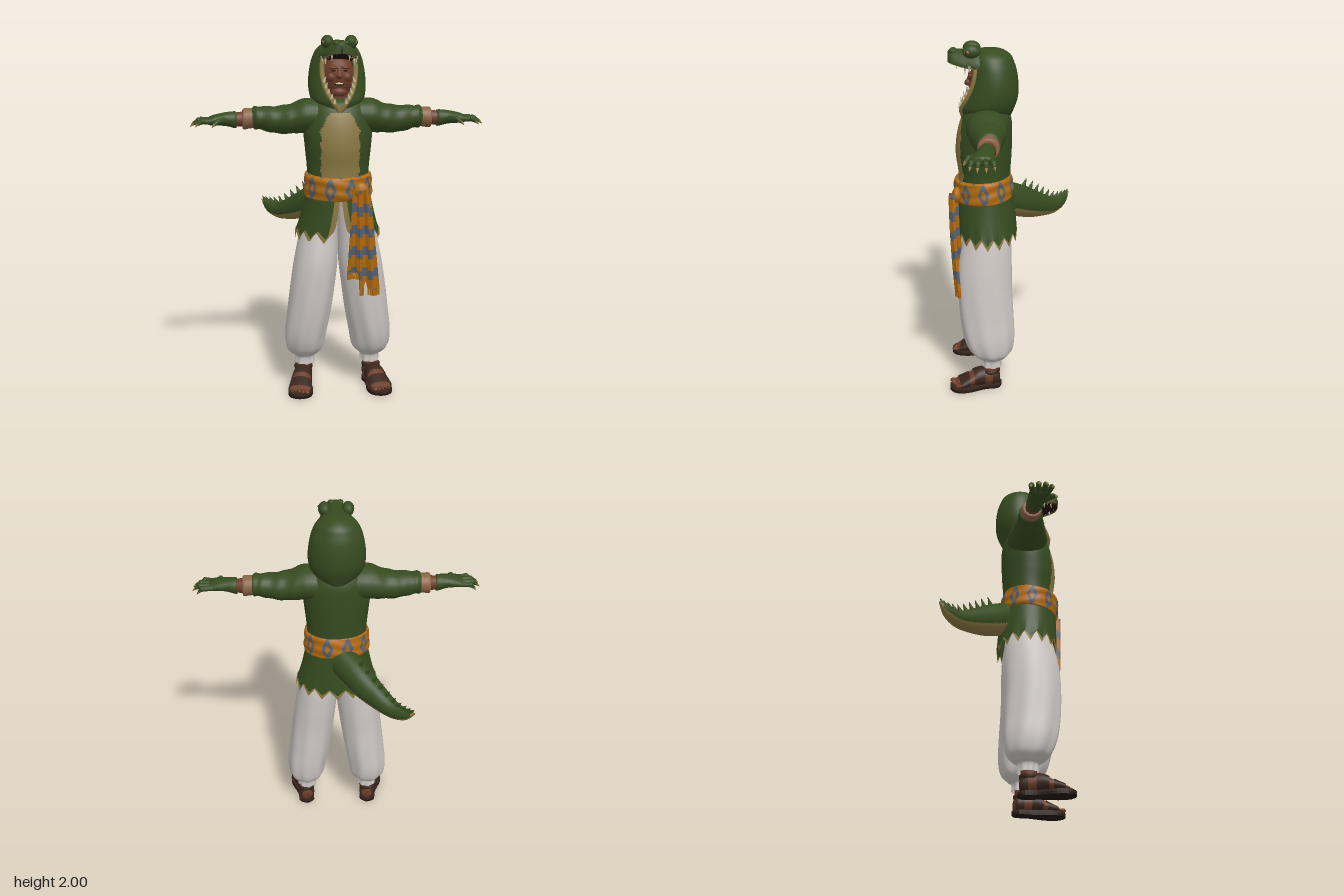
import * as THREE from 'three';
import { ParametricGeometry } from 'three/addons/geometries/ParametricGeometry.js';

const colours = {
  green: 0x364b20, tan: 0x8a7742, skin: 0x6c3d2a, leather: 0x8a6244, orange: 0xb26a0e,
  blue: 0x566070, sandalBrown: 0x38261d, dark: 0x231712, cloth: 0xcbc5c1, ivory: 0xcfc6ac,
};
const M = {};
for (const [name, color] of Object.entries(colours)) {
  M[name] = new THREE.MeshStandardMaterial({ color, side: THREE.DoubleSide });
  M[name].name = name;
}
const TAU = Math.PI * 2, { sin, cos, abs, asin, max, min, floor } = Math;
const frac = (x) => x - floor(x);

// Smooth interpolation through rows of numbers, t in 0..1
function spline(rows, t) {
  const n = rows.length - 1, x = min(max(t, 0), 1) * n, i = min(floor(x), n - 1), f = x - i;
  const [a, b, c, d] = [-1, 0, 1, 2].map((k) => rows[min(max(i + k, 0), n)]);
  return b.map((_, k) => b[k] + 0.5 * f * (c[k] - a[k] + f * (2 * a[k] - 5 * b[k] + 4 * c[k] - d[k]
    + f * (3 * (b[k] - c[k]) + d[k] - a[k]))));
}
const surf = (fn, cols, rows) => new ParametricGeometry((u, v, p) => p.set(...fn(u, v)), cols, rows);

// Lofts with elliptical sections: along y [y, cx, cz, rx, rz], x [x, cy, cz, ry, rz], z [z, cy, rx, ry]
function loftY(st, cols, rows, bump) {
  return surf((u, v) => {
    const [y, cx, cz, rx, rz] = spline(st, v), a = u * TAU, k = 1 + bump(a, v);
    return [cx + sin(a) * rx * k, y, cz + cos(a) * rz * k];
  }, cols, rows);
}
function loftX(st, s, bump = () => 0) {
  return surf((u, v) => {
    const [x, cy, cz, ry, rz] = spline(st, v), a = u * TAU * s, k = 1 + bump(a, v);
    return [x * s, cy + cos(a) * ry * k, cz + sin(a) * rz * k];
  }, 24, 30);
}
function loftZ(st, arch = 0, grow = 0, v0 = 0, v1 = 1) {
  return surf((u, v) => {
    const [z, cy, rx, ry] = spline(st, v0 + (v1 - v0) * v), a = u * TAU;
    return [cos(a) * (rx + grow), cy + sin(a) * (ry + grow) - cos(a) ** 2 * arch, z];
  }, 32, 16);
}
// Splits a surface between materials; pick(u, v, centre) returns a material index
function paint(geo, pick) {
  const P = geo.attributes.position, T = geo.attributes.uv, lists = [[], [], []], idx = geo.index.array;
  for (let i = 0; i < idx.length; i += 3) {
    const t = [idx[i], idx[i + 1], idx[i + 2]];
    const mean = (f) => (f(t[0]) + f(t[1]) + f(t[2])) / 3;
    const c = new THREE.Vector3(mean((k) => P.getX(k)), mean((k) => P.getY(k)), mean((k) => P.getZ(k)));
    lists[pick(mean((k) => T.getX(k)), mean((k) => T.getY(k)), c)].push(...t);
  }
  geo.setIndex(lists.flat());
  let start = 0;
  lists.forEach((l, m) => { if (l.length) geo.addGroup(start, l.length, m); start += l.length; });
  return geo;
}
function add(parent, name, geo, mat, pos = [0, 0, 0]) {
  const m = new THREE.Mesh(geo, mat);
  m.name = name;
  m.position.set(...pos);
  parent.add(m);
  return m;
}
function ball(parent, name, mat, pos, r) {
  add(parent, name, new THREE.SphereGeometry(1, 14, 10), mat, pos).scale.set(...r);
}
// Tapered rod from p to q
function rod(parent, name, mat, p, q, r1, r2) {
  const a = new THREE.Vector3(...p), b = new THREE.Vector3(...q), d = b.clone().sub(a);
  const m = add(parent, name, new THREE.CylinderGeometry(r2, r1, d.length(), 10), mat,
    a.clone().add(b).multiplyScalar(0.5).toArray());
  m.quaternion.setFromUnitVectors(new THREE.Vector3(0, 1, 0), d.normalize());
}

function buildClothes(g) {
  // Tunic body with pale belly
  const body = loftY([[1.12, 0, 0.155, 0.17, 0.145], [1.27, 0, 0.152, 0.172, 0.147], [1.38, 0, 0.155, 0.182, 0.157],
    [1.48, 0, 0.15, 0.19, 0.155], [1.57, 0, 0.14, 0.182, 0.142], [1.63, 0, 0.135, 0.15, 0.115],
    [1.66, 0, 0.13, 0.09, 0.08]], 100, 60, () => 0);
  paint(body, (u, v, c) => (c.z > 0.15 && c.y < 1.585 && abs(c.x) < 0.105 - max(0, c.y - 1.5) * 0.6
    + 0.004 * sin(c.y * 90) ? 1 : 0));
  add(g, 'tunicBody', body, [M.green, M.tan]);

  // Flared skirt, open at the front, with a pointed and edged hem
  const st = [[0.9, 0.24, 0.138, 0.173], [0.95, 0.224, 0.14, 0.171], [1.05, 0.198, 0.145, 0.166], [1.16, 0.175, 0.15, 0.158]];
  const tooth = (u) => abs(frac(u * 15) * 2 - 1) - 0.5;
  const skirt = surf((u, v) => {
    const [y, rx, cz, rz] = spline(st, v), gap = asin(0.2 * (1 - v)), a = gap + u * (TAU - 2 * gap);
    return [sin(a) * rx, y + tooth(u) * 0.06 * (1 - v) ** 3, cz + cos(a) * rz];
  }, 210, 40);
  paint(skirt, (u, v) => (v < 0.16 + 0.05 * tooth(u) || min(u, 1 - u) < 0.024 ? 1 : 0));
  add(g, 'tunicSkirt', skirt, [M.green, M.tan]);

  // Patterned sash, sitting lower at the front
  const belt = loftY([[-0.066, 0, 0, 0.165, 0.145], [-0.058, 0, 0, 0.19, 0.163], [-0.02, 0, 0, 0.19, 0.17],
    [0.02, 0, 0, 0.187, 0.168], [0.058, 0, 0, 0.186, 0.162], [0.068, 0, 0, 0.165, 0.145]], 180, 32,
  (a, v) => 0.012 * sin(v * 22 + 2 * sin(a * 2)));
  const motif = (u, v) => abs(frac(u * 10) - 0.5) + abs(v - 0.5) * 0.75;
  paint(belt, (u, v) => ((motif(u, v) > 0.12 && motif(u, v) < 0.3) || motif(u, v) > 0.72 ? 1 : 0));
  add(g, 'sashBelt', belt, [M.orange, M.blue], [0, 1.182, 0.157]).rotation.x = 0.09;
  ball(g, 'sashKnot', M.orange, [0.11, 1.165, 0.308], [0.042, 0.045, 0.026]);
  for (const [x0, x1, w, yEnd, z] of [[0.095, 0.085, 0.095, 0.7, 0.318], [0.125, 0.16, 0.115, 0.61, 0.334]]) {
    const strip = new THREE.BoxGeometry(1, 1, 0.016, 20, 90, 1), P = strip.attributes.position;
    for (let i = 0; i < P.count; i++) {
      const t = 0.5 - P.getY(i), x = P.getX(i);
      P.setXYZ(i, x0 + (x1 - x0) * t + x * (0.065 + (w - 0.065) * t), 1.17 + (yEnd - 1.17) * t,
        P.getZ(i) + z - 0.025 * t * t + 0.011 * sin(x * 9));
    }
    strip.computeVertexNormals();
    strip.clearGroups();
    paint(strip, (u, v, c) => (frac(c.y * 8.3 + 0.3 + 0.16 * (floor(c.x * 34 + 50) % 2)) < 0.42 ? 1 : 0));
    add(g, 'sashEnd', strip, [M.orange, M.blue]);
    for (let i = 0; i < 8; i++) {
      const f = (i - 3.5) / 8, x = x1 + f * w, zf = z - 0.025 + 0.011 * sin(f * 9);
      rod(g, 'sashFringe', M.orange, [x, yEnd + 0.005, zf], [x, yEnd - 0.035, zf], 0.0075, 0.0075);
    }
  }
}

function buildTail(g) {
  const st = [[-0.03, 1.1, 0.04, 0.085, 0.105], [-0.13, 1.04, -0.08, 0.08, 0.098], [-0.22, 0.99, -0.175, 0.064, 0.075],
    [-0.305, 0.955, -0.26, 0.046, 0.05], [-0.37, 0.965, -0.325, 0.028, 0.032], [-0.41, 1, -0.365, 0.004, 0.005]];
  const tail = surf((u, v) => {
    const [x, y, z, a, b] = spline(st, v), c = cos(u * TAU) * a * 0.707;
    return [x - c, y + sin(u * TAU) * b, z + c];
  }, 48, 40);
  paint(tail, (u, v) => (v > 0.9 || sin(u * TAU) < -0.45 ? 1 : 0));
  add(g, 'tail', tail, [M.green, M.tan]);
  for (let i = 0; i < 10; i++) {
    const [x, y, z, , b] = spline(st, 0.2 + i * 0.077), h = 0.042 - i * 0.002;
    rod(g, 'tailSpike', M.green, [x + 0.008, y + b - 0.012, z + 0.008], [x - 0.014, y + b + h, z - 0.014], 0.017, 0.001);
  }
}

function buildHead(g) {
  // Hood with a face opening; the last column is the half width of the gap
  const st = [[1.59, 0.09, 0.135, 0.13, 0.004], [1.64, 0.14, 0.13, 0.148, 0.035], [1.7, 0.157, 0.11, 0.147, 0.07],
    [1.77, 0.157, 0.097, 0.137, 0.088], [1.84, 0.146, 0.095, 0.127, 0.09], [1.89, 0.13, 0.1, 0.117, 0.07],
    [1.93, 0.104, 0.105, 0.102, 0], [1.96, 0.055, 0.115, 0.065, 0], [1.968, 0.004, 0.115, 0.006, 0]];
  const hood = (u, v) => {
    const [y, rx, cz, rz, w] = spline(st, v), gap = asin(min(max(w, 0) / rx, 0.95)), a = gap + u * (TAU - 2 * gap);
    return [sin(a) * rx, y, cz + cos(a) * rz];
  };
  add(g, 'hood', surf(hood, 64, 44), M.green);
  for (const u of [0, 1]) {
    const pts = [];
    for (let i = 0; i <= 14; i++) pts.push(new THREE.Vector3(...hood(u, i * 0.046)));
    add(g, 'hoodRim', new THREE.TubeGeometry(new THREE.CatmullRomCurve3(pts), 40, 0.014, 8), M.tan);
    for (let i = 1; i < 6; i++) {
      const [x, y, z] = hood(u, 0.06 + i * 0.055);
      rod(g, 'lowerTooth', M.ivory, [x, y, z + 0.007], [x * 0.85, y + 0.028, z + 0.016], 0.008, 0.001);
    }
  }
  // Upper jaw projecting over the face
  const jaw = loftZ([[0.08, 1.905, 0.1, 0.05], [0.17, 1.915, 0.108, 0.052], [0.24, 1.92, 0.094, 0.044], [0.29, 1.928, 0.08, 0.034],
    [0.325, 1.935, 0.062, 0.028], [0.342, 1.937, 0.034, 0.016], [0.345, 1.937, 0.003, 0.002]], 0.04);
  paint(jaw, (u) => { const s = sin(u * TAU); return s > -0.12 ? 0 : s > -0.62 ? 1 : 2; });
  add(g, 'upperJaw', jaw, [M.green, M.tan, M.dark]);
  for (const s of [-1, 1]) {
    ball(g, 'hoodEyeBump', M.green, [s * 0.064, 1.957, 0.215], [0.034, 0.038, 0.05]);
    ball(g, 'hoodEye', M.tan, [s * 0.081, 1.957, 0.235], [0.017, 0.013, 0.02]);
    ball(g, 'hoodPupil', M.dark, [s * 0.094, 1.957, 0.243], [0.005, 0.009, 0.005]);
    ball(g, 'nostril', M.green, [s * 0.026, 1.953, 0.316], [0.018, 0.013, 0.02]);
    for (let i = 0; i < 5; i++) {
      const x = s * (0.092 - 0.015 * i), z = 0.225 + 0.023 * i, y = 1.872 + 0.011 * i;
      rod(g, 'upperTooth', M.ivory, [x, y + 0.012, z], [x, y - (i % 2 ? 0.045 : 0.022), z + 0.003], 0.011, 0.001);
    }
    // Face features
    ball(g, 'eyeSocket', M.dark, [s * 0.032, 1.806, 0.226], [0.014, 0.004, 0.008]);
    ball(g, 'brow', M.skin, [s * 0.033, 1.822, 0.222], [0.026, 0.009, 0.014]);
    ball(g, 'cheek', M.skin, [s * 0.042, 1.77, 0.209], [0.026, 0.026, 0.024]);
  }
  ball(g, 'face', M.skin, [0, 1.775, 0.145], [0.092, 0.122, 0.09]);
  ball(g, 'chin', M.skin, [0, 1.69, 0.196], [0.045, 0.03, 0.036]);
  ball(g, 'nose', M.skin, [0, 1.778, 0.236], [0.018, 0.018, 0.021]);
  rod(g, 'noseBridge', M.skin, [0, 1.775, 0.24], [0, 1.82, 0.226], 0.012, 0.009);
  ball(g, 'mouth', M.dark, [0, 1.735, 0.215], [0.034, 0.011, 0.016]);
  ball(g, 'smile', M.ivory, [0, 1.737, 0.221], [0.026, 0.007, 0.013]);
  rod(g, 'neck', M.skin, [0, 1.57, 0.15], [0, 1.71, 0.16], 0.07, 0.06);
}

function buildArm(g, s) {
  add(g, 'sleeve', loftX([[0.08, 1.56, 0.135, 0.09, 0.11], [0.18, 1.56, 0.135, 0.095, 0.113], [0.26, 1.543, 0.135, 0.082, 0.1],
    [0.34, 1.538, 0.133, 0.075, 0.083], [0.42, 1.547, 0.13, 0.064, 0.07], [0.462, 1.55, 0.127, 0.06, 0.063],
    [0.47, 1.55, 0.127, 0.04, 0.04]], s, (a, v) => v * 0.06 * sin(v * 34 + 2 * sin(a))), M.green);
  add(g, 'cuff', loftX([[0.455, 1.548, 0.127, 0.054, 0.056], [0.485, 1.546, 0.128, 0.056, 0.057], [0.518, 1.543, 0.13, 0.056, 0.055],
    [0.522, 1.542, 0.13, 0.03, 0.03]], s), M.leather);
  rod(g, 'wrist', M.skin, [s * 0.5, 1.543, 0.13], [s * 0.58, 1.54, 0.14], 0.043, 0.037);
  add(g, 'glove', loftX([[0.555, 1.54, 0.138, 0.03, 0.03], [0.558, 1.54, 0.138, 0.046, 0.046], [0.61, 1.545, 0.145, 0.038, 0.048],
    [0.66, 1.543, 0.155, 0.031, 0.057], [0.7, 1.538, 0.158, 0.023, 0.052], [0.712, 1.536, 0.158, 0.004, 0.01]], s), M.green);
  // Fingers: knuckle, joint and tip, each with a claw
  const fingers = [[0.68, 0.118, 0.745, 0.105, 0.775], [0.69, 0.145, 0.758, 0.142, 0.803], [0.69, 0.172, 0.755, 0.18, 0.803],
    [0.68, 0.195, 0.735, 0.213, 0.775], [0.61, 0.18, 0.65, 0.228, 0.685]];
  for (const [x0, z0, x1, z1, x2] of fingers) {
    const z2 = z1 + (z1 - z0) * 0.55, xm = x1 + (x2 - x1) * 0.6, zm = z1 + (z2 - z1) * 0.6;
    rod(g, 'finger', M.green, [s * x0, 1.538, z0], [s * x1, 1.54, z1], 0.018, 0.014);
    ball(g, 'knuckle', M.green, [s * x1, 1.54, z1], [0.016, 0.016, 0.016]);
    rod(g, 'fingertip', M.green, [s * x1, 1.54, z1], [s * xm, 1.526, zm], 0.014, 0.009);
    rod(g, 'claw', M.tan, [s * xm, 1.526, zm], [s * x2, 1.51, z2], 0.009, 0.001);
  }
}

function buildLeg(g, s) {
  // Baggy trouser leg gathered at the ankle
  const st = [[0.132, 0.188, 0.12, 0.056, 0.058], [0.175, 0.188, 0.12, 0.056, 0.058], [0.195, 0.19, 0.12, 0.078, 0.085],
    [0.235, 0.19, 0.125, 0.106, 0.122], [0.32, 0.185, 0.135, 0.117, 0.145], [0.45, 0.165, 0.147, 0.122, 0.154],
    [0.6, 0.145, 0.155, 0.124, 0.155], [0.75, 0.125, 0.153, 0.122, 0.153], [0.9, 0.108, 0.142, 0.108, 0.136],
    [1.08, 0.085, 0.14, 0.085, 0.1]].map(([y, x, ...r]) => [y, s * x, ...r]);
  add(g, 'trouserLeg', loftY(st, 64, 45, (a, v) => 0.045 * sin(a * 8 + s * v * 5) * max(0, 1 - v * 1.1)), M.cloth);

  const foot = new THREE.Group();
  foot.name = 'foot';
  foot.position.set(s * 0.21, 0, 0.2);
  foot.rotation.y = s * 0.17;
  g.add(foot);
  const f = [[-0.128, 0.055, 0.004, 0.004], [-0.12, 0.06, 0.036, 0.036], [-0.07, 0.068, 0.045, 0.05], [0, 0.07, 0.05, 0.046],
    [0.06, 0.053, 0.056, 0.031], [0.11, 0.04, 0.06, 0.018], [0.135, 0.034, 0.05, 0.01]];
  add(foot, 'footSkin', loftZ(f), M.skin);
  rod(foot, 'ankle', M.skin, [0, 0.06, -0.078], [0, 0.16, -0.078], 0.045, 0.042);
  for (const [a, b] of [[0.13, 0.31], [0.42, 0.58], [0.65, 0.85]]) add(foot, 'strap', loftZ(f, 0, 0.006, a, b), M.sandalBrown);
  const ring = add(foot, 'ankleStrap', new THREE.TorusGeometry(0.046, 0.008, 8, 24), M.sandalBrown, [0, 0.105, -0.076]);
  ring.rotation.x = Math.PI / 2;
  ring.scale.z = 1.6;
  for (let i = 0; i < 5; i++) {
    ball(foot, 'toe', M.skin, [s * (-0.042 + i * 0.022), 0.034, 0.142 - i * i * 0.0025], [i ? 0.011 : 0.016, 0.012, 0.02]);
  }
  // Sole in two layers
  const outline = new THREE.Shape(new THREE.SplineCurve([[0, -0.14], [0.045, -0.11], [0.046, -0.03], [0.068, 0.07], [0.055, 0.14],
    [0, 0.168], [-0.055, 0.14], [-0.068, 0.07], [-0.046, -0.03], [-0.045, -0.11], [0, -0.14]]
    .map(([x, z]) => new THREE.Vector2(x, -z))).getPoints(40));
  for (const [name, mat, y, depth] of [['sole', M.dark, 0, 0.013], ['footbed', M.sandalBrown, 0.013, 0.013]]) {
    add(foot, name, new THREE.ExtrudeGeometry(outline, { depth, bevelEnabled: false }), mat, [0, y, 0]).rotation.x = -Math.PI / 2;
  }
}

export function createModel() {
  const model = new THREE.Group();
  model.name = 'costumedFigure';
  const part = (name, build, ...args) => {
    const g = new THREE.Group();
    g.name = name;
    build(g, ...args);
    model.add(g);
  };
  part('clothes', buildClothes);
  part('tailGroup', buildTail);
  part('head', buildHead);
  for (const [side, s] of [['left', 1], ['right', -1]]) {
    part(side + 'Arm', buildArm, s);
    part(side + 'Leg', buildLeg, s);
  }
  return model;
}
